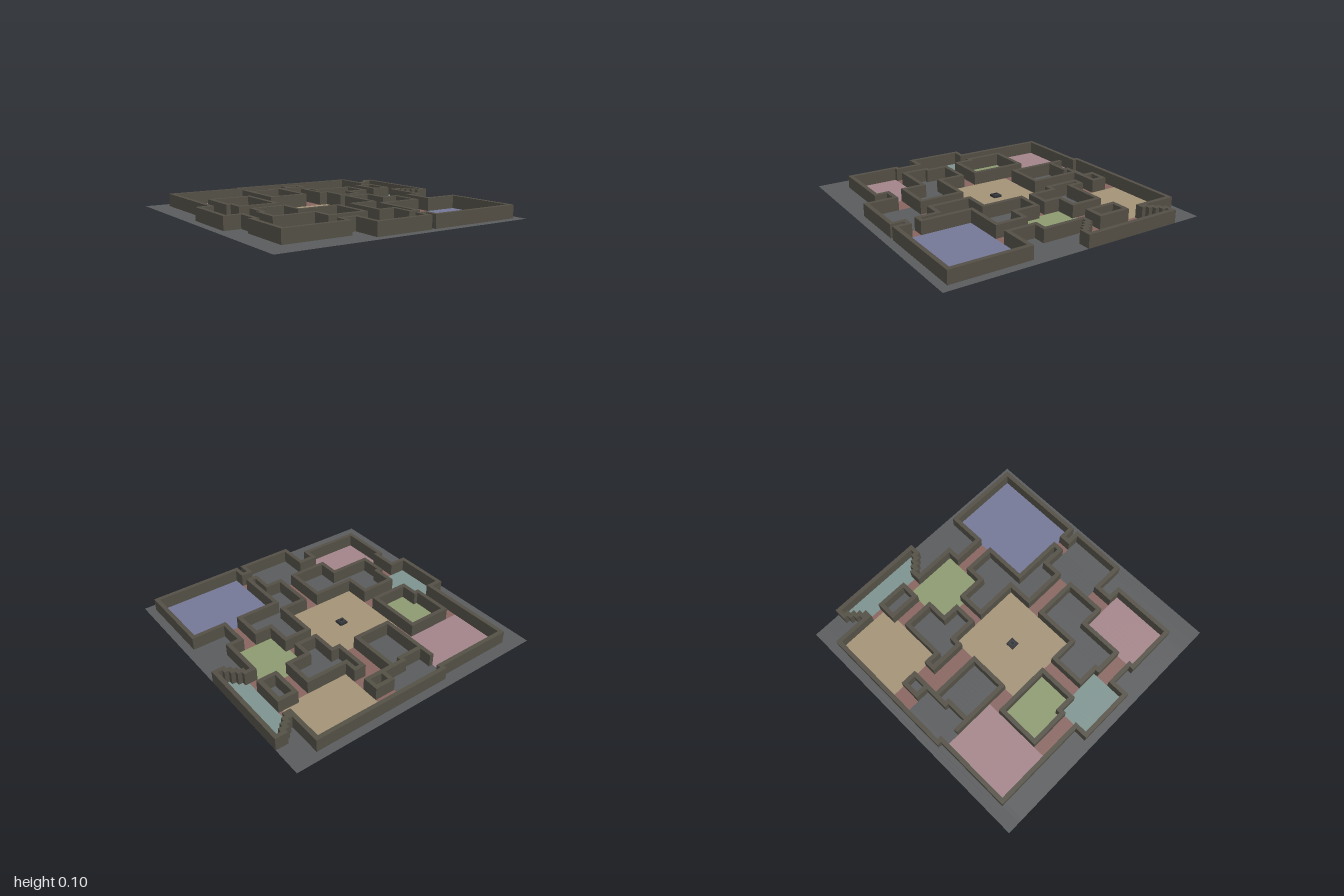
import * as THREE from 'three';
import { mergeGeometries } from 'three/addons/utils/BufferGeometryUtils.js';

const N = 64;            // cells along each side
const CELL = 2 / N;
const FLOOR_Y = 0.001;
const WALL_TOP = 0.097;
const at = (i) => i * CELL - 1;

// Open floor areas in cells: [x0, z0, x1, z1]
const AREAS = {
  pinkRoomFloor: { color: 0xa38489, rects: [[6, 4, 23, 17], [6, 46, 20, 57]] },
  tanRoomFloor: { color: 0xa39377, rects: [[40, 3, 57, 15], [40, 15, 53, 16], [20, 22, 39, 40]] },
  greenRoomFloor: {
    color: 0x8c9a70,
    rects: [[10, 18, 19, 26], [11, 26, 19, 30], [50, 23, 56, 36], [46, 24, 50, 36], [45, 24, 46, 30]],
  },
  tealRoomFloor: {
    color: 0x7d938f,
    rects: [[3, 27, 10, 39], [10, 31, 11, 39],
      // stepped side room, one column at a time
      ...[0, 1, 2, 3, 4].map((i) => [58 + i, 12 - i, 59 + i, 26 + i])],
  },
  blueRoomFloor: { color: 0x747896, rects: [[40, 44, 61, 61]] },
  corridorFloor: {
    color: 0x886560,
    rects: [[35, 3, 40, 6], [33, 10, 40, 13], [33, 13, 37, 22], [50, 16, 53, 23], [57, 12, 58, 15],
      [56, 23, 58, 26], [39, 28, 45, 30], [50, 36, 53, 44], [37, 56, 40, 58], [30, 40, 33, 51],
      [20, 51, 25, 54], [7, 39, 10, 46], [11, 31, 20, 34], [20, 17, 23, 22], [6, 17, 9, 27]],
  },
  greyFloor: {
    color: 0x5a5b5d,
    rects: [[23, 4, 24, 7], [24, 4, 25, 10], [25, 3, 29, 10], [29, 3, 35, 9], [25, 51, 37, 61]],
  },
};

// Flat horizontal patch covering cells x0..x1, z0..z1
function patch(x0, z0, x1, z1, y) {
  return new THREE.PlaneGeometry((x1 - x0) * CELL, (z1 - z0) * CELL)
    .rotateX(-Math.PI / 2)
    .translate(at((x0 + x1) / 2), y, at((z0 + z1) / 2));
}

// Upright face on the (dx, dz) side of a cell
function sideFace(x, z, dx, dz) {
  return new THREE.PlaneGeometry(CELL, WALL_TOP - FLOOR_Y)
    .rotateY(Math.atan2(dx, dz))
    .translate(at(x + 0.5 + dx / 2), (WALL_TOP + FLOOR_Y) / 2, at(z + 0.5 + dz / 2));
}

function addMesh(group, name, geometry, color, side = THREE.FrontSide) {
  const material = new THREE.MeshStandardMaterial({ color, side });
  const mesh = new THREE.Mesh(geometry, material);
  mesh.name = name;
  group.add(mesh);
  return mesh;
}

export function createModel() {
  const group = new THREE.Group();
  group.name = 'dungeonMap';

  // Mark which cells are open
  const grid = Array.from({ length: N }, () => Array(N).fill(null));
  for (const [name, { rects }] of Object.entries(AREAS)) {
    for (const [x0, z0, x1, z1] of rects) {
      for (let z = z0; z < z1; z++) grid[z].fill(name, x0, x1);
    }
  }
  const open = (x, z) => Boolean(grid[z]?.[x]);

  // A wall stands on every closed cell that touches an open one
  const isWall = (x, z) => {
    if (x < 0 || z < 0 || x >= N || z >= N || open(x, z)) return false;
    for (let dz = -1; dz <= 1; dz++) {
      for (let dx = -1; dx <= 1; dx++) if (open(x + dx, z + dz)) return true;
    }
    return false;
  };

  // Floors, gathered as runs of equal cells along each row
  const floors = {};
  for (let z = 0; z < N; z++) {
    for (let x = 0; x < N;) {
      const name = grid[z][x] ?? 'greyFloor';
      let end = x + 1;
      while (end < N && (grid[z][end] ?? 'greyFloor') === name) end++;
      (floors[name] ??= []).push(patch(x, z, end, z + 1, FLOOR_Y));
      x = end;
    }
  }
  for (const [name, parts] of Object.entries(floors)) {
    addMesh(group, name, mergeGeometries(parts), AREAS[name].color, THREE.DoubleSide);
  }

  // Walls: tops and exposed sides only
  const faces = [];
  for (let z = 0; z < N; z++) {
    for (let x = 0; x < N; x++) {
      if (!isWall(x, z)) continue;
      faces.push(patch(x, z, x + 1, z + 1, WALL_TOP));
      for (const [dx, dz] of [[1, 0], [-1, 0], [0, 1], [0, -1]]) {
        if (!isWall(x + dx, z + dz)) faces.push(sideFace(x, z, dx, dz));
      }
    }
  }
  addMesh(group, 'walls', mergeGeometries(faces), 0x545046);

  // Small stepped pedestal in the middle of the central room
  const pedestal = new THREE.Group();
  pedestal.name = 'pedestal';
  pedestal.position.set(at(29.5), 0, at(30.9));
  [[0.062, 0.016, 0x303235], [0.036, 0.022, 0x3c3f43], [0.018, 0.026, 0x25272a]].forEach(([w, h, color], i) => {
    addMesh(pedestal, `pedestalStep${i + 1}`, new THREE.BoxGeometry(w, h, w), color).position.y = h / 2;
  });
  group.add(pedestal);

  return group;
}
